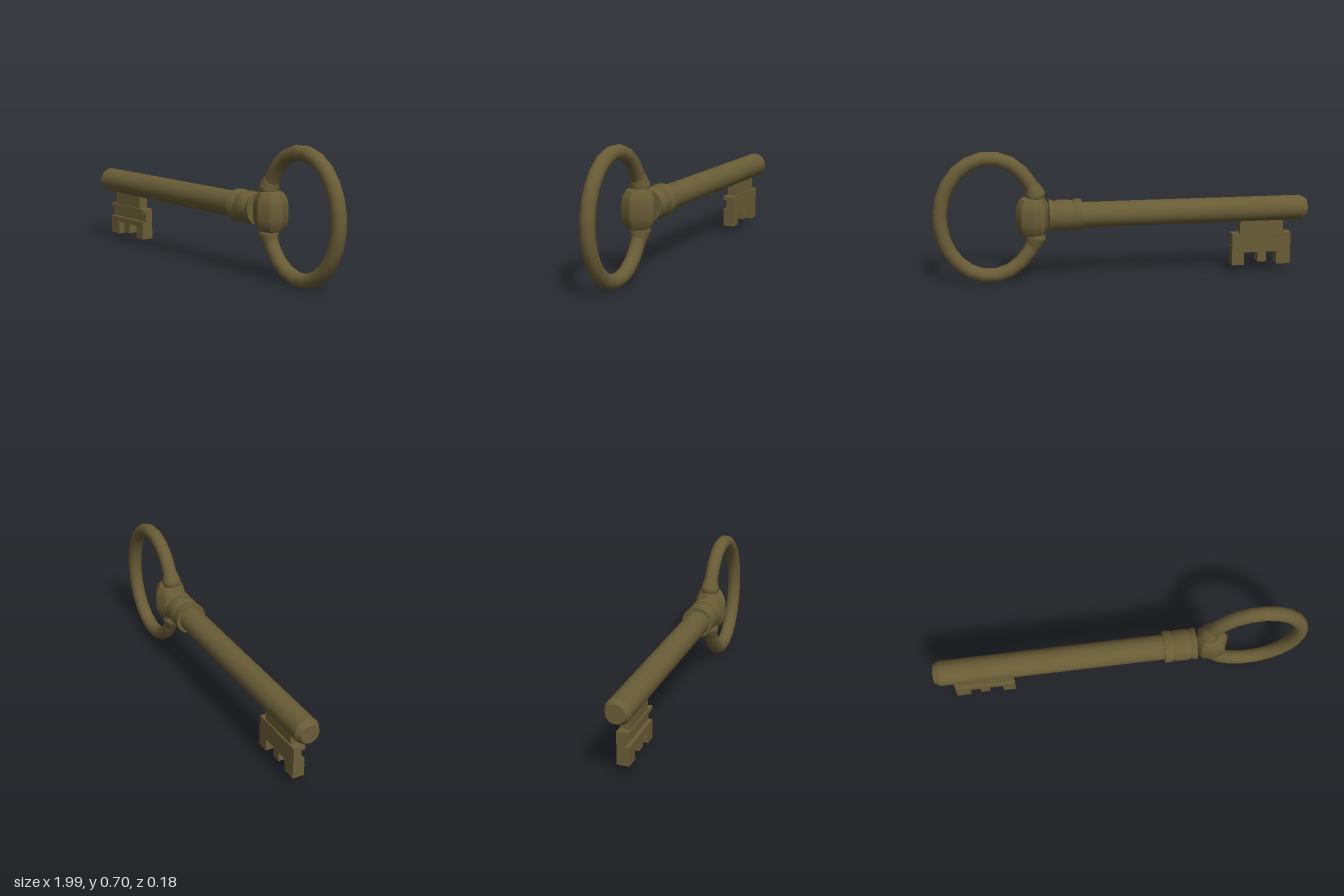
import * as THREE from 'three';
import { toCreasedNormals } from 'three/addons/utils/BufferGeometryUtils.js';

const AXIS_Y = 0.352; // height of the shaft's centre line

export function createModel() {
  const key = new THREE.Group();
  key.name = 'key';
  const bronze = new THREE.MeshStandardMaterial({ color: 0x695c36 });

  const add = (name, geometry, x = 0, y = 0, z = 0) => {
    const mesh = new THREE.Mesh(geometry, bronze);
    mesh.name = name;
    mesh.position.set(x, y, z);
    key.add(mesh);
    return mesh;
  };
  // Turned part: profile of [radius, position along the axis]
  const turned = (profile, sides, crease = 0.5) =>
    toCreasedNormals(new THREE.LatheGeometry(profile.map(([r, h]) => new THREE.Vector2(r, h)), sides), crease);

  // Shaft with a chamfered tip
  add('shaft', turned([[0, -1], [0.05, -1], [0.067, -0.97], [0.067, 0.24]], 20)
    .rotateZ(-Math.PI / 2), 0, AXIS_Y);

  // Grooved collar between shaft and knob
  add('collar', turned([
    [0.06, 0.22], [0.085, 0.22], [0.085, 0.253], [0.078, 0.268], [0.083, 0.288],
    [0.083, 0.345], [0.077, 0.362], [0.085, 0.378], [0.085, 0.392], [0, 0.392],
  ], 20, 0.6).rotateZ(-Math.PI / 2), 0, AXIS_Y);

  // Eight-sided upright knob
  add('knob', turned([
    [0, -0.102], [0.045, -0.102], [0.064, -0.095], [0.081, -0.066], [0.088, -0.035],
    [0.088, 0.035], [0.081, 0.066], [0.064, 0.095], [0.045, 0.102], [0, 0.102],
  ], 8), 0.475, AXIS_Y);

  // Oval ring handle
  const SEGMENTS = 24, RX = 0.257, RY = 0.314, RING_X = 0.7;
  const oval = Array.from({ length: SEGMENTS }, (_, i) => {
    const a = ((i + 0.5) / SEGMENTS) * Math.PI * 2;
    return new THREE.Vector3(Math.cos(a) * RX, Math.sin(a) * RY, 0);
  });
  add('ringHandle', new THREE.TubeGeometry(
    new THREE.CatmullRomCurve3(oval, true), SEGMENTS, 0.038, 12, true), RING_X, AXIS_Y);

  // Flared sockets where the ring meets the knob, above and below
  for (const side of [1, -1]) {
    const socket = add(side > 0 ? 'upperSocket' : 'lowerSocket',
      turned([[0, -0.01], [0.043, -0.01], [0.053, 0.01], [0.051, 0.026], [0.036, 0.075]], 12, 0.7)
        .rotateZ(-0.3), RING_X - 0.245, AXIS_Y + side * 0.1);
    if (side < 0) socket.rotation.x = Math.PI;
  }

  // Bit: neck under the shaft
  add('bitNeck', new THREE.BoxGeometry(0.237, 0.1, 0.05), -0.754, 0.262);

  // Bit: toothed plate, thinner across the front groove
  const bar = (name, x0, x1, y0, y1, z0 = -0.032, z1 = 0.032) =>
    add(name, new THREE.BoxGeometry(x1 - x0, y1 - y0, z1 - z0),
      (x0 + x1) / 2, (y0 + y1) / 2, (z0 + z1) / 2);
  const L = -0.915, R = -0.593;
  bar('bitTopRail', L, R, 0.2, 0.221);
  bar('bitGroove', L, R, 0.147, 0.2, -0.032, 0.012);

  const teeth = new THREE.Shape([
    [L, 0.147], [L, 0.048], [-0.838, 0.048], [-0.838, 0.118], [-0.782, 0.118], [-0.782, 0.064],
    [-0.733, 0.064], [-0.733, 0.118], [-0.659, 0.118], [-0.659, 0.048], [R, 0.048], [R, 0.147],
  ].map(([x, y]) => new THREE.Vector2(x, y)));
  add('bitTeeth', new THREE.ExtrudeGeometry(teeth, { depth: 0.064, bevelEnabled: false }), 0, 0, -0.032);

  return key;
}
